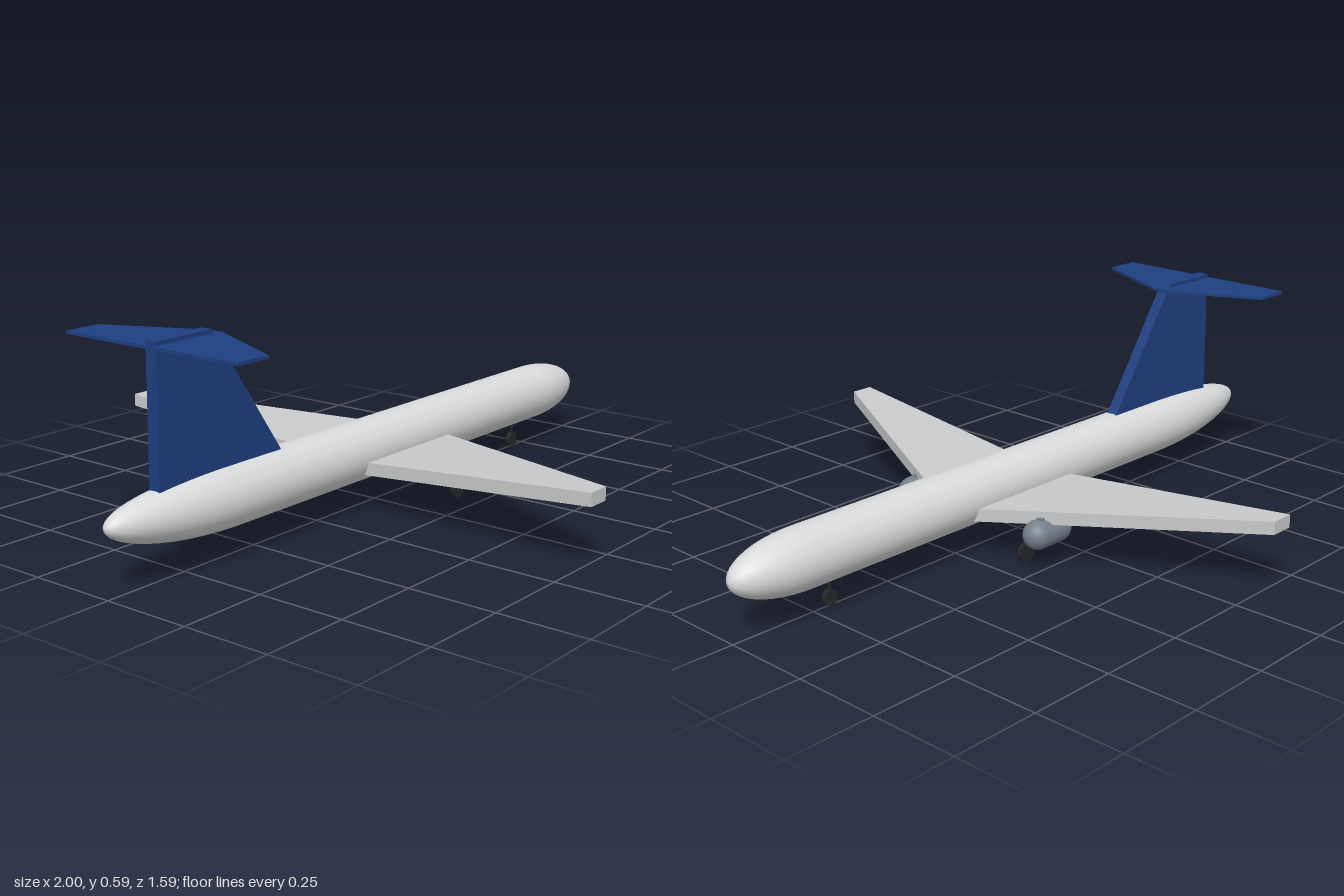
import * as THREE from 'three';

const mat = (name, color) => {
  const m = new THREE.MeshStandardMaterial({ color });
  m.name = name;
  return m;
};

export function createModel() {
  const plane = new THREE.Group();
  plane.name = 'airliner';
  const body = mat('fuselage light grey', 0xd9dadb);
  const wingGrey = mat('wing grey', 0xc9cacb);
  const blue = mat('tail blue', 0x1f3f80);
  const steel = mat('engine steel', 0x75818b);
  const dark = mat('gear black', 0x26282a);

  const add = (name, geo, material, x = 0, y = 0, z = 0) => {
    const mesh = new THREE.Mesh(geo, material);
    mesh.name = name;
    mesh.position.set(x, y, z);
    plane.add(mesh);
    return mesh;
  };
  const extrude = (points, depth) => new THREE.ExtrudeGeometry(
    new THREE.Shape(points.map(([x, y]) => new THREE.Vector2(x, y))),
    { depth, bevelEnabled: false });
  // Horizontal slab from an [x, z] outline, standing on y = 0
  const slab = (plan, thickness) =>
    extrude(plan.map(([x, z]) => [x, -z]), thickness).rotateX(-Math.PI / 2);

  // Fuselage: tube with an elliptical nose and a longer tail that sweeps up
  const R = 0.082, profile = [];
  for (let i = 0; i <= 16; i++) {
    const a = (i / 16) * Math.PI / 2;
    profile.push(new THREE.Vector2(R * Math.sin(a), -0.58 - 0.42 * Math.cos(a)));
  }
  for (let i = 0; i <= 12; i++) {
    const a = (i / 12) * Math.PI / 2;
    profile.push(new THREE.Vector2(R * Math.cos(a), 0.78 + 0.22 * Math.sin(a)));
  }
  const hull = new THREE.LatheGeometry(profile, 40).rotateZ(-Math.PI / 2);
  const hp = hull.attributes.position;
  for (let i = 0; i < hp.count; i++) {
    const t = Math.max(0, (-0.58 - hp.getX(i)) / 0.42);
    hp.setY(i, hp.getY(i) + 0.015 * t * t);
  }
  add('fuselage', hull, body, 0, 0.158, 0);

  for (const s of [1, -1]) {
    const side = s > 0 ? 'right' : 'left';

    // Swept wing, sheared upwards for dihedral
    const wing = slab([[-0.125, 0], [0.277, 0], [-0.093, s * 0.793], [-0.16, s * 0.793]], 0.036);
    const wp = wing.attributes.position;
    for (let i = 0; i < wp.count; i++) {
      wp.setY(i, wp.getY(i) + 0.105 + 0.088 * Math.abs(wp.getZ(i)));
    }
    wing.computeVertexNormals();
    add(side + 'Wing', wing, wingGrey);

    // Engine under the wing with its short pylon
    const engine = new THREE.CapsuleGeometry(0.04, 0.075, 10, 24).rotateZ(Math.PI / 2);
    add(side + 'Engine', engine, steel, 0.142, 0.101, s * 0.238);
    add(side + 'Pylon', new THREE.BoxGeometry(0.1, 0.03, 0.016), steel, 0.125, 0.13, s * 0.238);
  }

  // T-tail
  add('tailFin', extrude([[-0.84, 0.2], [-0.382, 0.2], [-0.65, 0.592], [-0.836, 0.592]], 0.034),
    blue, 0, 0, -0.017);
  add('tailplane', slab([
    [-0.845, -0.285], [-0.743, -0.285], [-0.62, -0.022],
    [-0.62, 0.022], [-0.743, 0.285], [-0.845, 0.285],
  ], 0.008), blue, 0, 0.573, 0);

  // Landing gear: slim strut and a thin wheel
  const gear = (name, x, z, r, top) => {
    add(name + 'Strut', new THREE.CylinderGeometry(0.005, 0.005, top - r, 10),
      dark, x, (top + r) / 2, z);
    add(name + 'Wheel', new THREE.CylinderGeometry(r, r, 0.012, 20).rotateX(Math.PI / 2),
      dark, x, r, z);
  };
  gear('noseGear', 0.695, 0, 0.022, 0.1);
  gear('rightMainGear', 0.157, 0.175, 0.027, 0.13);
  gear('leftMainGear', 0.157, -0.175, 0.027, 0.13);

  return plane;
}
